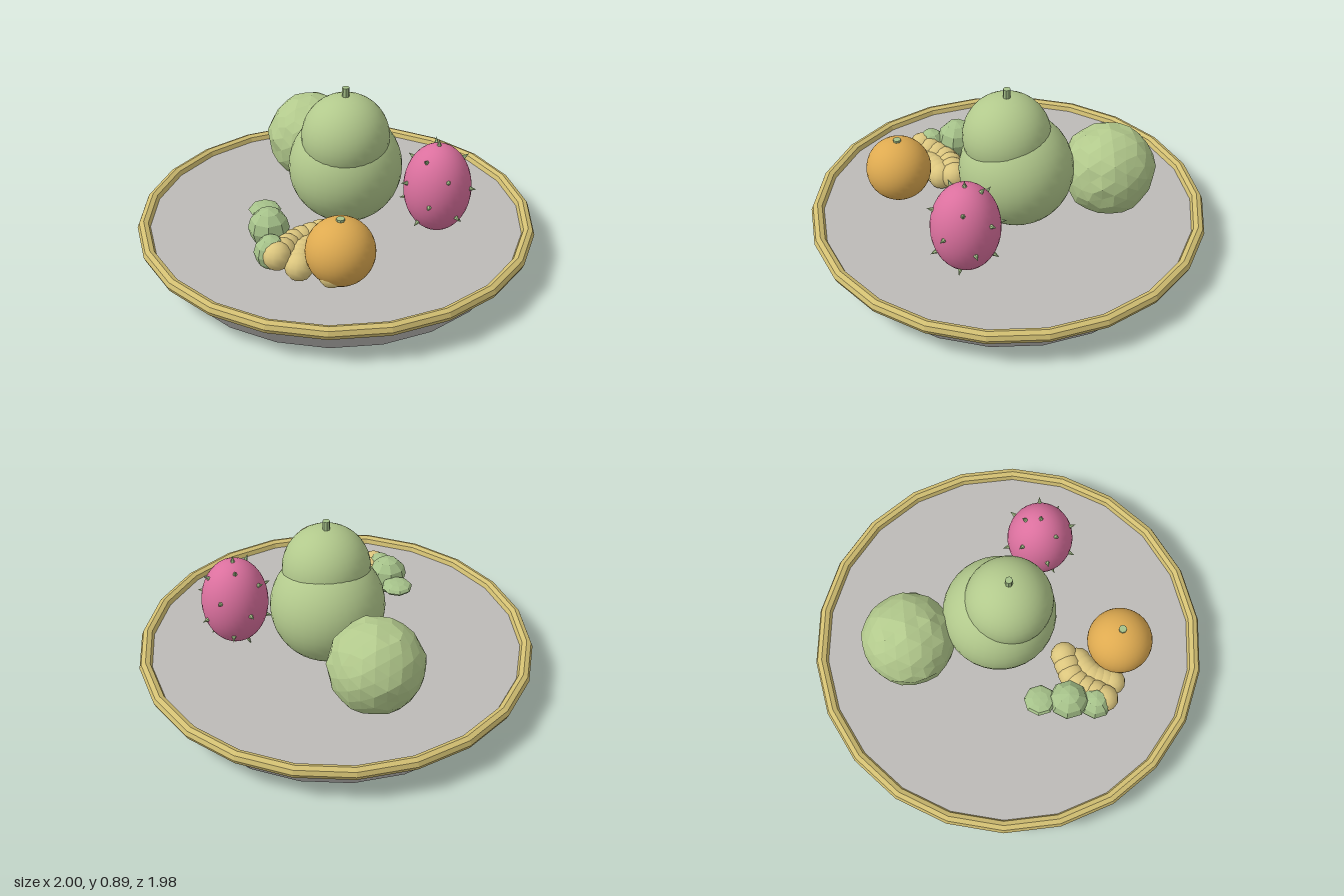
import * as THREE from 'three';
import { mergeVertices } from 'three/addons/utils/BufferGeometryUtils.js';

export function createModel() {
  const group = new THREE.Group();
  const material = (name, color, flatShading = false) => {
    const m = new THREE.MeshStandardMaterial({ color, flatShading });
    m.name = name;
    return m;
  };
  const grey = material('trayGrey', 0xbdbbb7);
  const gold = material('rimGold', 0xd2bf72, true);
  const green = material('fruitGreen', 0xb2c98c);
  const roughGreen = material('roughFruitGreen', 0xb2c98c, true);
  const leaf = material('leafGreen', 0xa6c28a, true);
  const pink = material('fruitPink', 0xdb709e);
  const orange = material('fruitOrange', 0xdeaa50);
  const yellow = material('podYellow', 0xdcc67e);

  const add = (name, geometry, mat, x, y, z, parent = group) => {
    const mesh = new THREE.Mesh(geometry, mat);
    mesh.name = name;
    mesh.position.set(x, y, z);
    parent.add(mesh);
    return mesh;
  };
  const ball = (r, w = 32, h = 20) => new THREE.SphereGeometry(r, w, h);

  // Shallow tray with a rolled rim
  const tray = new THREE.CylinderGeometry(0.965, 0.86, 0.17, 22);
  tray.rotateY(Math.PI / 2);
  add('tray', tray, grey, 0, 0.085, 0);
  const rim = new THREE.TorusGeometry(0.968, 0.032, 8, 22);
  rim.rotateX(Math.PI / 2);
  add('trayRim', rim, gold, 0, 0.17, 0);

  // Two-lobed gourd with a stem
  add('gourdBody', ball(0.285), green, 0, 0.44, -0.07);
  add('gourdTop', ball(0.218), green, 0.032, 0.627, -0.035);
  add('gourdStem', new THREE.CylinderGeometry(0.018, 0.018, 0.07, 8), leaf, 0.032, 0.855, -0.035);

  // Knobbly round fruit: a faceted ball with a gentle bump rule
  const knobbly = mergeVertices(new THREE.IcosahedronGeometry(1, 3).deleteAttribute('normal').deleteAttribute('uv'));
  const p = knobbly.attributes.position;
  const v = new THREE.Vector3();
  for (let i = 0; i < p.count; i++) {
    v.fromBufferAttribute(p, i);
    const bump = Math.sin(v.x * 9 + 1) * Math.sin(v.y * 9) * Math.sin(v.z * 9 + 2);
    v.multiplyScalar(0.233 + 0.011 * bump);
    p.setXYZ(i, v.x, v.y, v.z);
  }
  knobbly.computeVertexNormals();
  add('knobblyFruit', knobbly, roughGreen, -0.425, 0.378, -0.27);

  // Pink oval fruit with spikes on a golden spiral
  const oval = new THREE.Group();
  oval.name = 'spikyFruit';
  oval.position.set(0.432, 0.4, -0.268);
  group.add(oval);
  add('spikyFruitBody', ball(0.168), pink, 0, 0, 0, oval).scale.y = 0.23 / 0.168;
  const spike = new THREE.ConeGeometry(0.018, 0.05, 6);
  const up = new THREE.Vector3(0, 1, 0);
  for (let i = 0; i < 19; i++) {
    const y = 1 - i / 9, r = Math.sqrt(Math.max(0, 1 - y * y)), a = -i * 2.39996;
    const x = Math.cos(a) * r, z = Math.sin(a) * r;
    const cone = add('spike', spike, leaf, x * 0.174, y * 0.236, z * 0.174, oval);
    cone.quaternion.setFromUnitVectors(up, v.set(x, y * 0.73, z).normalize());
  }

  // Orange with a small stem
  add('orange', ball(0.165), orange, 0.4, 0.33, 0.4);
  add('orangeStem', new THREE.CylinderGeometry(0.02, 0.02, 0.03, 8), leaf, 0.4, 0.49, 0.4);

  // Small faceted green fruits
  const small = ball(1, 8, 6);
  const smallFruits = [
    [0, 0.32, 0.47, 0.1, 0.1],
    [0.105, 0.27, 0.56, 0.082, 0.085],
    [-0.115, 0.335, 0.385, 0.08, 0.028],
  ];
  for (const [x, y, z, r, h] of smallFruits) {
    add('smallGreenFruit', small, leaf, x, y, z).scale.set(r, h, r);
  }

  // Curved, beaded yellow pods
  const pods = [
    [[0.15, 0.255, 0.265], [0.11, 0.25, 0.4], [0.155, 0.275, 0.57]],
    [[0.19, 0.235, 0.33], [0.19, 0.24, 0.43], [0.25, 0.235, 0.52]],
  ];
  const bead = ball(0.07, 12, 8);
  for (const points of pods) {
    const curve = new THREE.CatmullRomCurve3(points.map(q => new THREE.Vector3(...q)));
    for (let i = 0; i < 7; i++) {
      const c = curve.getPointAt(i / 6);
      add('podBead', bead, yellow, c.x, c.y, c.z);
    }
  }
  add('podEnd', ball(0.06, 12, 8), yellow, 0.42, 0.245, 0.482);

  return group;
}
